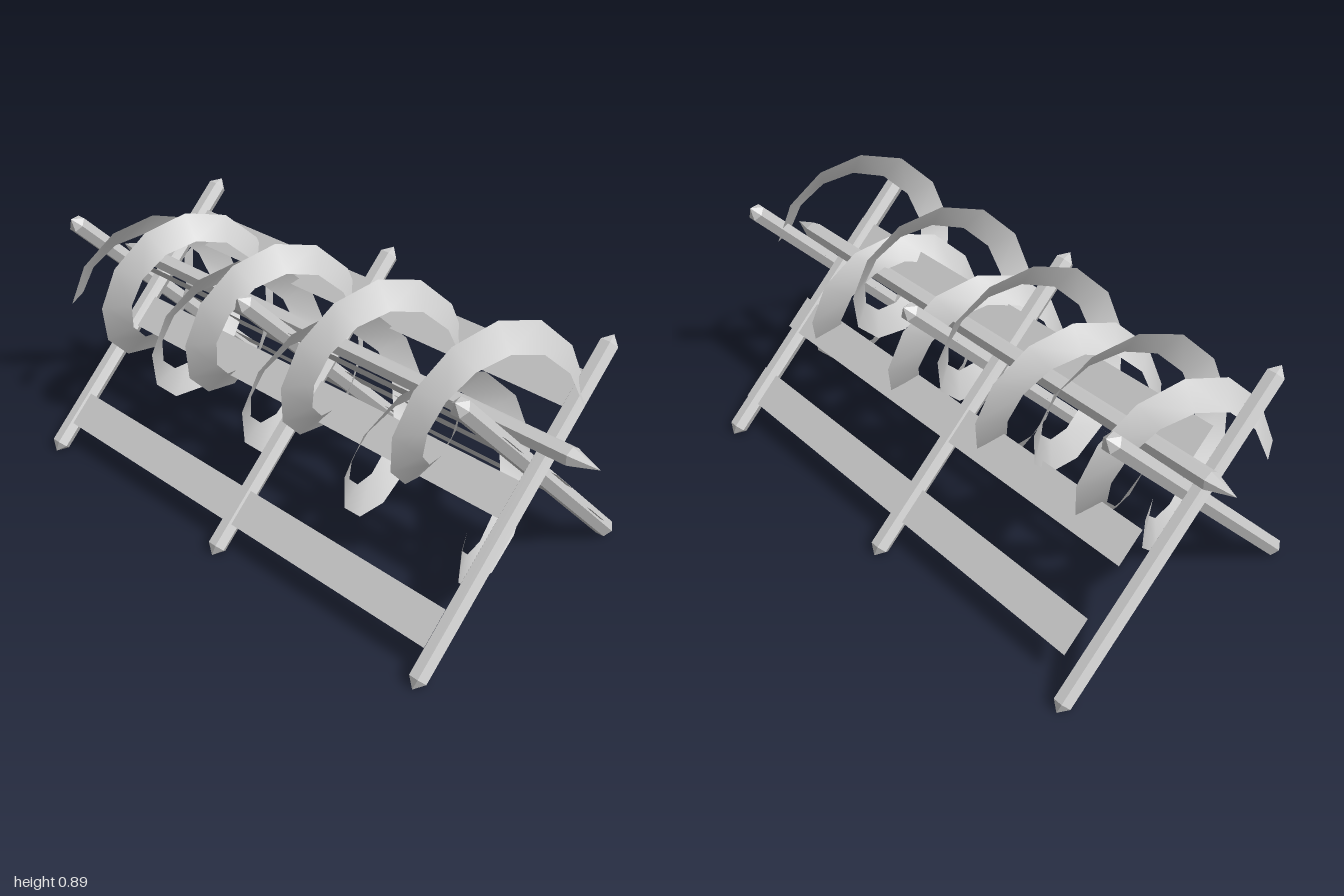
import * as THREE from 'three';

const flat = new THREE.MeshStandardMaterial({ color: 0xcccccc, flatShading: true });
const thin = new THREE.MeshStandardMaterial({ color: 0xcccccc, side: THREE.DoubleSide });

// Hexagonal bar along y, pointed at both ends, corners facing +x and -x
function hexBar(length, radius, tip) {
  const h = length / 2;
  const profile = [[0, -h], [radius, -h + tip], [radius, h - tip], [0, h]]
    .map(([x, y]) => new THREE.Vector2(x, y));
  return new THREE.LatheGeometry(profile, 6).rotateY(Math.PI / 2);
}

// Coiled strip: four turns of twelve sides, its centre line sloping up or down
function coilGeometry(dir) {
  const turns = 4, sides = 12, pitch = 0.42, startX = -0.865;
  const positions = [], index = [];
  for (let i = 0; i <= turns * sides; i++) {
    const a = (i / sides) * Math.PI * 2;
    const x = startX + (i / sides) * pitch;
    const cy = 0.505 + dir * (0.07 + 0.0635 * x);
    // outer edge, then inner edge; the strip leans like a cone
    for (const [r, dx] of [[0.272, -0.02], [0.192, 0.03]]) {
      positions.push(x + dir * dx, cy - dir * r * Math.sin(a), 0.063 - dir * r * Math.cos(a));
    }
    if (i > 0) {
      const k = 2 * i;
      index.push(k - 2, k - 1, k, k, k - 1, k + 1);
    }
  }
  const g = new THREE.BufferGeometry();
  g.setAttribute('position', new THREE.Float32BufferAttribute(positions, 3));
  g.setIndex(index);
  g.computeVertexNormals();
  return g;
}

export function createModel() {
  const model = new THREE.Group();
  const add = (name, geometry, material, x = 0, y = 0, z = 0, rx = 0) => {
    const m = new THREE.Mesh(geometry, material);
    m.name = name;
    m.position.set(x, y, z);
    m.rotation.x = rx;
    model.add(m);
  };

  // Three pairs of crossed posts
  const post = hexBar(1.085, 0.03, 0.03);
  for (const x of [-0.81, 0, 0.81]) {
    add('frontPost', post, flat, x, 0.385, 0.0925, -Math.PI / 4);
    add('backPost', post, flat, x - 0.06, 0.385, -0.0925, Math.PI / 4);
  }

  // Long pointed rail resting in the crossings
  add('topRail', hexBar(2, 0.03, 0.09).rotateZ(Math.PI / 2), flat, 0, 0.555, 0);

  // Thin planks lying along each slope: [y, z] of the centre line
  const plank = new THREE.PlaneGeometry(1.59, 0.115);
  for (const [y, z] of [[0.132, 0.372], [0.4, 0.085], [0.645, -0.16]]) {
    add('frontPlank', plank, thin, -0.005, y, z, -Math.PI / 4);
  }
  for (const [y, z] of [[0.14, -0.347], [0.345, -0.16], [0.57, 0.085]]) {
    add('backPlank', plank, thin, -0.005, y, z, Math.PI / 4);
  }

  // Two interleaved coils, half a turn apart
  add('risingCoil', coilGeometry(1), thin);
  add('fallingCoil', coilGeometry(-1), thin);

  return model;
}
